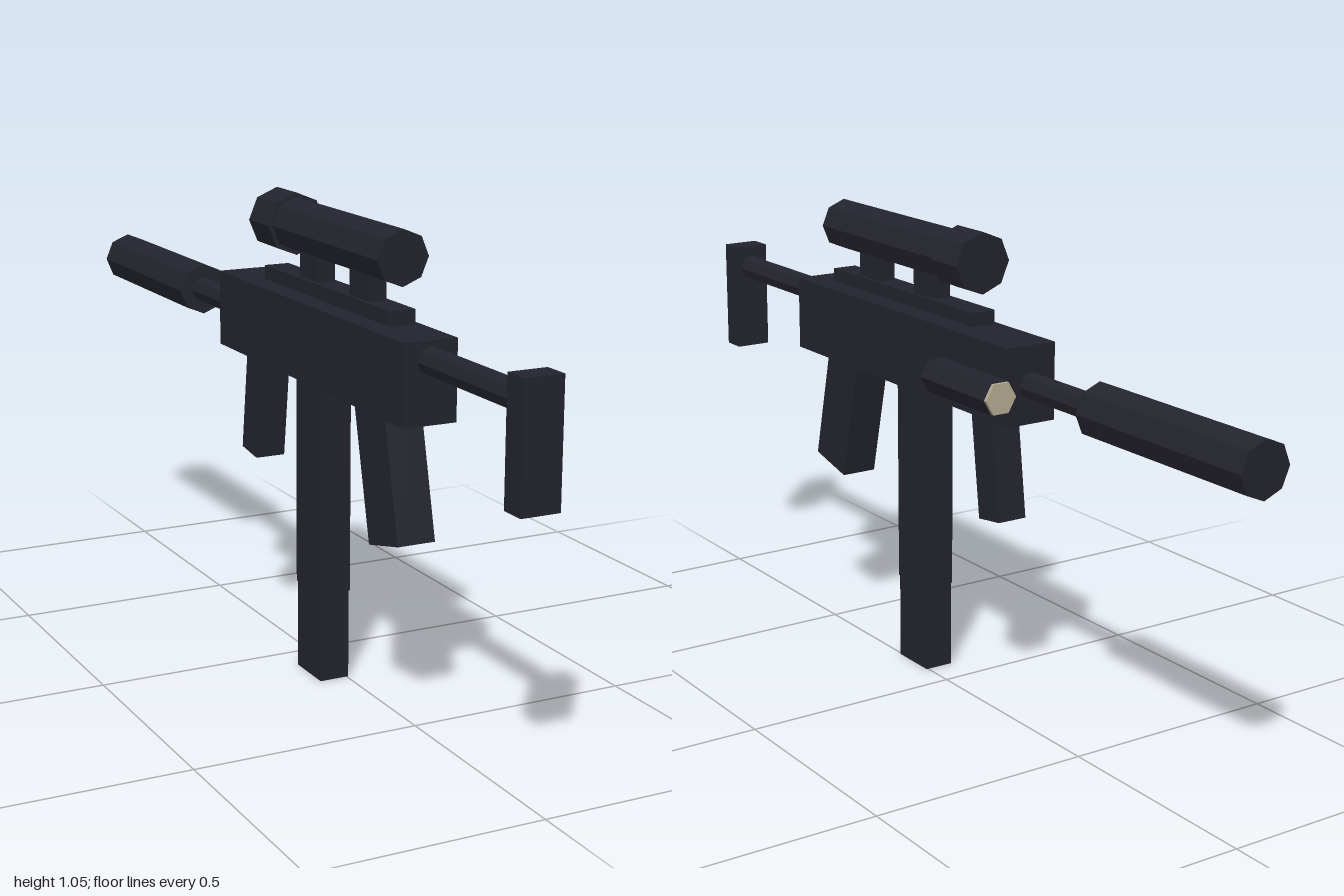
import * as THREE from 'three';

export function createModel() {
  const model = new THREE.Group();
  const gunmetal = new THREE.MeshStandardMaterial({ color: 0x23232d, flatShading: true });
  gunmetal.name = 'gunmetal';
  const lensGlass = new THREE.MeshStandardMaterial({ color: 0xb5aa90, flatShading: true });
  lensGlass.name = 'lensGlass';
  const axisX = -0.03;

  function add(name, geometry, x, y, z, material = gunmetal) {
    const mesh = new THREE.Mesh(geometry, material);
    mesh.name = name;
    mesh.position.set(x, y, z);
    model.add(mesh);
    return mesh;
  }

  // Box on the centre line, given its width and its y and z ranges
  function block(name, width, y0, y1, z0, z1) {
    return add(name, new THREE.BoxGeometry(width, y1 - y0, z1 - z0), axisX, (y0 + y1) / 2, (z0 + z1) / 2);
  }

  // Faceted cylinder along z, with a corner pointing to +x
  function rod(name, radius, y, z0, z1, x = axisX, sides = 8, material = gunmetal) {
    const geometry = new THREE.CylinderGeometry(radius, radius, z1 - z0, sides, 1, false, Math.PI / 2);
    geometry.rotateX(Math.PI / 2);
    return add(name, geometry, x, y, (z0 + z1) / 2, material);
  }

  // Body and shoulder stock
  block('receiver', 0.12, 0.67, 0.84, -0.275, 0.595);
  rod('stockTube', 0.03, 0.8, 0.58, 0.95);
  block('buttPlate', 0.085, 0.597, 0.855, 0.943, 1);

  // Barrel and suppressor
  rod('barrel', 0.03, 0.753, -0.52, -0.26);
  rod('suppressor', 0.06, 0.753, -1, -0.507);

  // Magazine in two steps
  block('magazineUpper', 0.074, 0.2, 0.7, 0.077, 0.19);
  block('magazineLower', 0.068, 0, 0.2, 0.077, 0.19);

  // Slanted grips
  const grip = add('rearGrip', new THREE.BoxGeometry(0.085, 0.34, 0.126), axisX, 0.564, 0.448);
  grip.rotation.x = -0.235;
  const foregrip = add('foregrip', new THREE.BoxGeometry(0.07, 0.3, 0.076), axisX, 0.582, -0.154);
  foregrip.rotation.x = 0.13;

  // Sight on its rail
  block('rail', 0.058, 0.848, 0.879, -0.098, 0.48);
  for (const z of [0.333, 0.104]) block('scopeMount', 0.04, 0.875, 0.94, z - 0.043, z + 0.043);
  rod('scopeTube', 0.058, 0.983, -0.09, 0.48);
  rod('scopeBell', 0.068, 0.983, -0.095, 0.003);

  // Side lamp with a pale lens
  rod('lampBody', 0.04, 0.74, -0.28, -0.042, 0.056, 6);
  rod('lampLens', 0.038, 0.74, -0.288, -0.28, 0.056, 6, lensGlass);

  return model;
}
